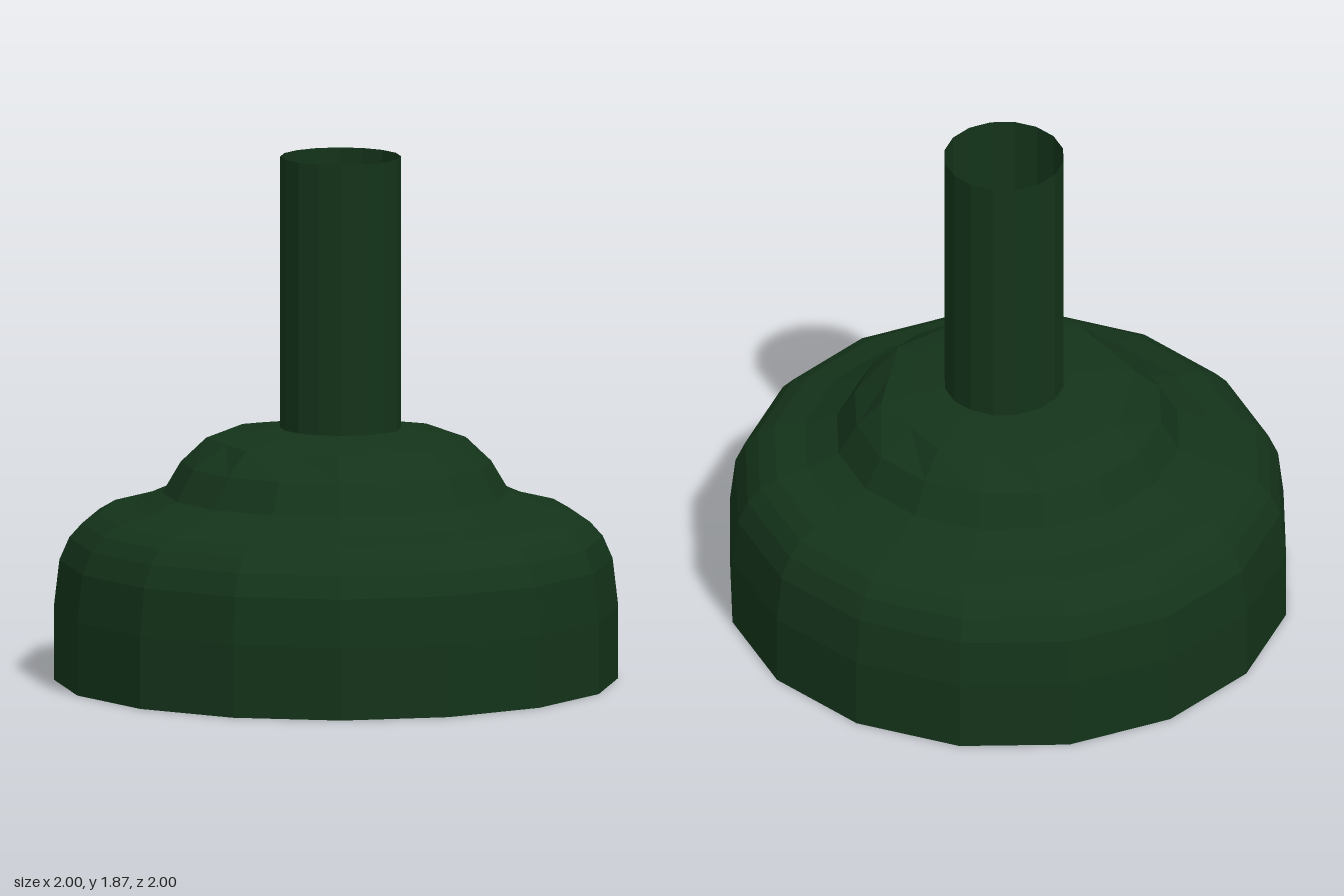
import * as THREE from 'three';

const SIDES = 16;

export function createModel() {
  const group = new THREE.Group();
  const material = new THREE.MeshStandardMaterial({
    color: 0x14331a, flatShading: true, side: THREE.DoubleSide,
  });

  // Stepped bell, open underneath and closed at the crown
  const profile = [
    [1, 0], [1, 0.26], [0.98, 0.43], [0.945, 0.51], [0.9, 0.56], [0.84, 0.595],
    [0.73, 0.62], [0.615, 0.67], [0.55, 0.78], [0.46, 0.865], [0.37, 0.88],
    [0.22, 0.9], [0, 0.905],
  ].map(([r, y]) => new THREE.Vector2(r, y));
  const bellGeometry = new THREE.LatheGeometry(profile, SIDES);

  // The crown has only eight sides: pull every second corner onto the octagon's edge
  const pos = bellGeometry.attributes.position;
  const pull = Math.cos(Math.PI / 8);
  for (let i = 0; i < pos.count; i++) {
    const ring = Math.floor(i / profile.length);
    if (ring % 2 === 1 && profile[i % profile.length].x < 0.5) {
      pos.setX(i, pos.getX(i) * pull);
      pos.setZ(i, pos.getZ(i) * pull);
    }
  }
  bellGeometry.computeVertexNormals();
  const bell = new THREE.Mesh(bellGeometry, material);
  bell.name = 'bell';
  group.add(bell);

  // Thin open tube that passes down through the crown
  const bottom = 0.15, top = 1.87;
  const stem = new THREE.Mesh(
    new THREE.CylinderGeometry(0.214, 0.214, top - bottom, SIDES, 1, true), material);
  stem.position.set(0.005, (top + bottom) / 2, -0.018);
  stem.name = 'stem';
  group.add(stem);

  return group;
}
